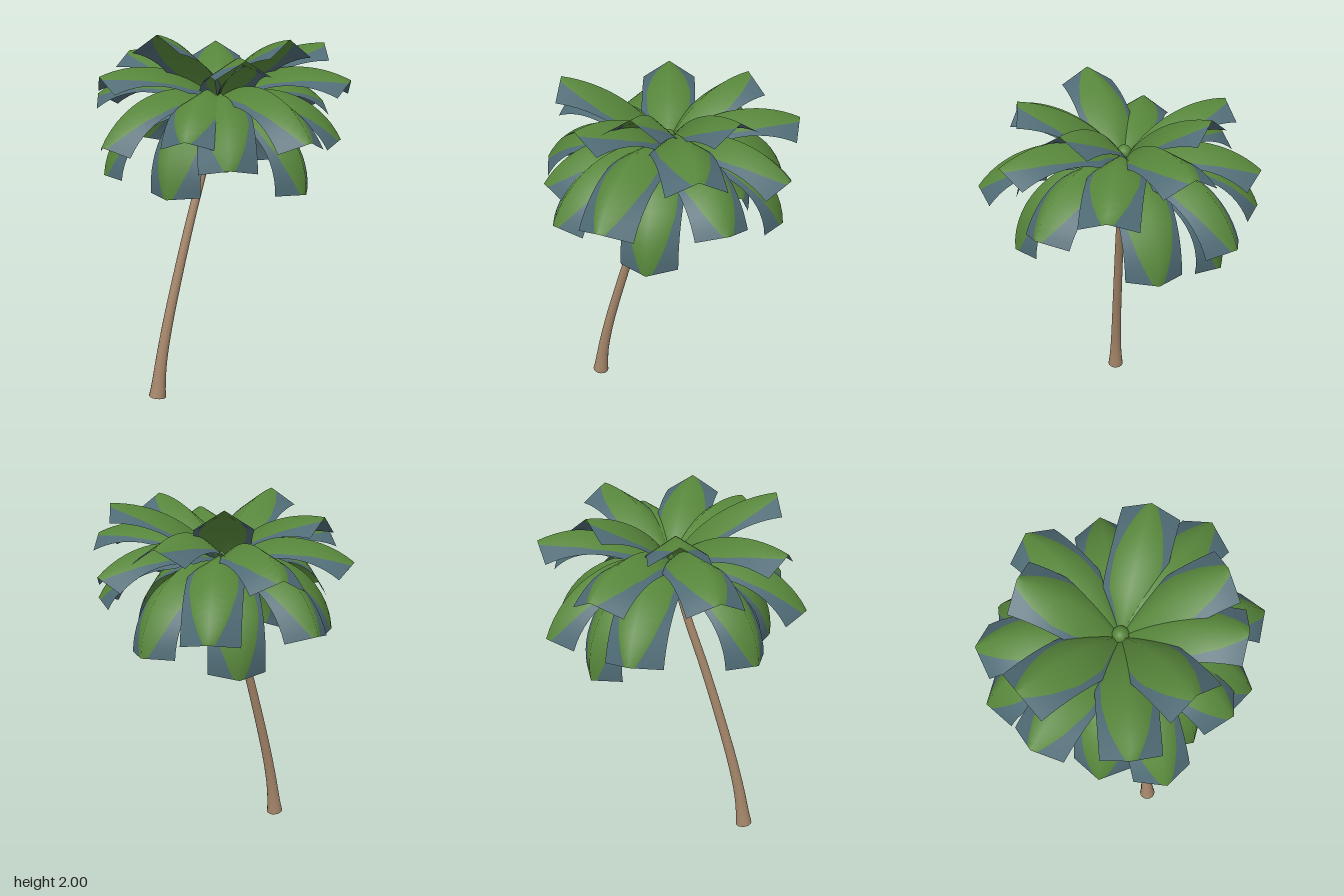
import * as THREE from 'three';

const mat = (name, color, side = THREE.FrontSide) => {
  const m = new THREE.MeshStandardMaterial({ color, side });
  m.name = name;
  return m;
};

const crown = new THREE.Vector3(0.02, 1.64, -0.02);

// Midrib end points of the fronds, from the raised tier to the drooping one
const tips = [
  // raised
  [-0.17, 1.9, -0.585], [0.34, 1.95, -0.41], [0.495, 1.95, 0.325],
  [0.03, 1.975, 0.52], [-0.5, 2.0, 0.135], [-0.26, 1.88, 0.515],
  // level
  [0.23, 1.64, -0.705], [0.66, 1.78, -0.28], [0.39, 1.765, 0.615],
  [-0.62, 1.785, -0.21], [-0.37, 1.66, -0.62],
  // arching down
  [0.035, 1.355, -0.757], [0.54, 1.35, -0.53], [0.715, 1.605, 0.13],
  [-0.05, 1.495, 0.755], [-0.39, 1.37, 0.55], [-0.52, 1.5, 0.37],
  [-0.715, 1.445, -0.06],
  // hanging
  [0.505, 1.43, 0.46], [0.645, 1.225, -0.13], [0.32, 1.13, -0.505],
  [0.115, 1.19, 0.575], [-0.5, 1.185, 0.19], [-0.52, 1.24, -0.35],
];

// Share of the half width that is green: full near the middle, closing at the tip
const greenKeys = [[0, 0.5], [0.2, 0.66], [0.4, 0.78], [0.6, 0.82], [0.8, 0.62], [0.92, 0.4], [1, 0.18]];
function greenShare(t) {
  const i = Math.max(1, greenKeys.findIndex((k) => k[0] >= t));
  const [a, b] = [greenKeys[i - 1], greenKeys[i]];
  return THREE.MathUtils.lerp(a[1], b[1], (t - a[0]) / (b[0] - a[0]));
}

// A roof-folded strip along an arc from the crown to the tip, cut square at its end
function frondGeometry(tip) {
  const d = new THREE.Vector3(...tip).sub(crown);
  const reach = Math.hypot(d.x, d.z);
  const out = new THREE.Vector3(d.x / reach, 0, d.z / reach);
  const up = new THREE.Vector3(0, 1, 0);
  const across = new THREE.Vector3().crossVectors(up, out);
  const pitch = Math.atan2(d.y, reach);
  const bend = THREE.MathUtils.degToRad(80) - 0.8 * pitch;
  const start = pitch + bend / 2;
  const radius = d.length() / (2 * Math.sin(bend / 2));
  const steps = 16;
  const pos = [];
  const green = [];
  const blue = [];

  for (let i = 0; i <= steps; i++) {
    const t = i / steps;
    const a = start - bend * t;
    const rib = crown.clone()
      .addScaledVector(out, radius * (Math.sin(start) - Math.sin(a)))
      .addScaledVector(up, radius * (Math.cos(a) - Math.cos(start)));
    const normal = out.clone().multiplyScalar(-Math.sin(a)).addScaledVector(up, Math.cos(a));
    const half = THREE.MathUtils.lerp(0.02, 0.147, Math.min(1, t / 0.32));
    const share = greenShare(t);
    // five points across: edge, seam, midrib, seam, edge
    for (const f of [-1, -share, 0, share, 1]) {
      const p = rib.clone()
        .addScaledVector(across, half * f)
        .addScaledVector(normal, -0.62 * half * Math.abs(f));
      pos.push(p.x, p.y, p.z);
    }
    if (i === steps) continue;
    [blue, green, green, blue].forEach((list, k) => {
      const p = i * 5 + k;
      list.push(p, p + 5, p + 1, p + 1, p + 5, p + 6);
    });
  }
  const geo = new THREE.BufferGeometry();
  geo.setAttribute('position', new THREE.Float32BufferAttribute(pos, 3));
  geo.setIndex([...green, ...blue]);
  geo.addGroup(0, green.length, 0);
  geo.addGroup(green.length, blue.length, 1);
  geo.computeVertexNormals();
  return geo;
}

// Tube along the leaning curve, rings scaled to taper and flare at the foot
function trunkGeometry(curve) {
  const rings = 40;
  const sides = 16;
  const geo = new THREE.TubeGeometry(curve, rings, 1, sides, false);
  const p = geo.attributes.position;
  const v = new THREE.Vector3();
  for (let i = 0; i <= rings; i++) {
    const t = i / rings;
    const r = 0.031 - 0.011 * t + 0.017 * Math.exp(-t * 14);
    const c = curve.getPointAt(t);
    for (let j = 0; j <= sides; j++) {
      const n = i * (sides + 1) + j;
      v.fromBufferAttribute(p, n).sub(c).multiplyScalar(r).add(c);
      p.setXYZ(n, v.x, v.y, v.z);
    }
  }
  geo.computeVertexNormals();
  return geo;
}

export function createModel() {
  const bark = mat('bark brown', 0xa5866a);
  const leaf = mat('leaf green', 0x57863b, THREE.DoubleSide);
  const edge = mat('leaf edge blue grey', 0x4f6b75, THREE.DoubleSide);

  const model = new THREE.Group();
  model.name = 'palmTree';
  const add = (name, geo, material, parent = model) => {
    const mesh = new THREE.Mesh(geo, material);
    mesh.name = name;
    parent.add(mesh);
    return mesh;
  };

  // Trunk and its foot cap
  const curve = new THREE.CatmullRomCurve3([
    [-0.43, 0.012], [-0.402, 0.2], [-0.352, 0.42], [-0.255, 0.76],
    [-0.167, 1.04], [-0.055, 1.37], [0.02, 1.65],
  ].map(([x, y]) => new THREE.Vector3(x, y, -0.013)));
  add('trunk', trunkGeometry(curve), bark);
  const foot = add('trunkFoot', new THREE.CircleGeometry(0.048, 16), bark);
  foot.position.copy(curve.getPointAt(0));
  foot.lookAt(foot.position.clone().sub(curve.getTangentAt(0)));

  // Crown of fronds around a round bud
  const fronds = new THREE.Group();
  fronds.name = 'fronds';
  model.add(fronds);
  tips.forEach((tip, i) => add(`frond${i + 1}`, frondGeometry(tip), [leaf, edge], fronds));
  const bud = add('bud', new THREE.SphereGeometry(0.043, 16, 12), leaf);
  bud.position.set(crown.x, 1.68, crown.z);

  return model;
}
